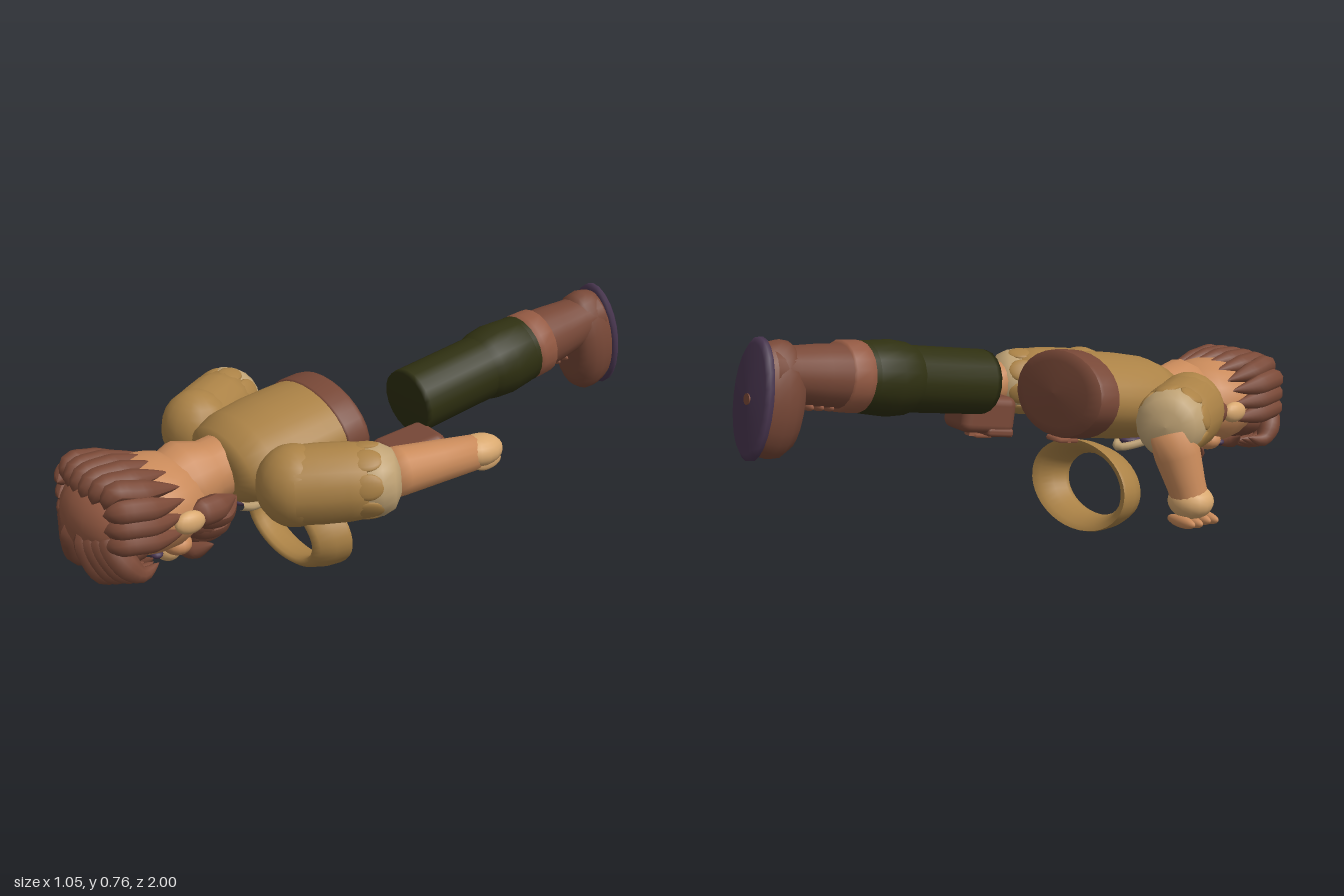
import * as THREE from 'three';
import { RoundedBoxGeometry } from 'three/addons/geometries/RoundedBoxGeometry.js';

const mat = (name, color) => {
  const m = new THREE.MeshStandardMaterial({ color });
  m.name = name;
  return m;
};

export function createModel() {
  const cloth = mat('tan cloth', 0xab8246);
  const cuffCloth = mat('pale cuff', 0xc0a375);
  const skin = mat('skin', 0xc98a5a);
  const paleSkin = mat('pale skin', 0xd8a86f);
  const hair = mat('brown hair', 0x7a4937);
  const leather = mat('brown leather', 0x784837);
  const redLeather = mat('red leather', 0x935942);
  const olive = mat('olive trousers', 0x2f3011);
  const purple = mat('purple sole', 0x493650);

  const root = new THREE.Group();
  const V = (p) => new THREE.Vector3(...p);
  const UP = new THREE.Vector3(0, 1, 0);
  const CX = 0.015; // body centre line

  const add = (parent, name, geo, m, pos = [0, 0, 0], rot = [0, 0, 0]) => {
    const o = new THREE.Mesh(geo, m);
    o.name = name;
    o.position.set(...pos);
    o.rotation.set(...rot);
    parent.add(o);
    return o;
  };
  const group = (name, pos = [0, 0, 0], rot = [0, 0, 0]) => {
    const g = new THREE.Group();
    g.name = name;
    g.position.set(...pos);
    g.rotation.set(...rot);
    root.add(g);
    return g;
  };
  const blob = (parent, name, m, pos, size, rot) => {
    const o = add(parent, name, new THREE.SphereGeometry(1, 16, 12), m, pos, rot);
    o.scale.set(...size);
    return o;
  };
  const lathe = (pts, seg = 20) => new THREE.LatheGeometry(pts.map((p) => new THREE.Vector2(...p)), seg);
  // tapered round limb running from a to b; the profile is [radius, fraction]
  const limb = (parent, name, m, a, b, profile) => {
    const d = V(b).sub(V(a));
    const len = d.length();
    const o = add(parent, name, lathe(profile.map(([r, t]) => [r, t * len]), 18), m, a);
    o.quaternion.setFromUnitVectors(UP, d.normalize());
    return o;
  };
  // curved lock of hair: a tube, blunt at its root and pointed at its tip
  const lock = (parent, name, points, r) => {
    const curve = new THREE.CatmullRomCurve3(points.map(V));
    const geo = new THREE.TubeGeometry(curve, 16, r, 10);
    const p = geo.attributes.position;
    const v = new THREE.Vector3();
    for (let i = 0; i < p.count; i++) {
      const t = Math.floor(i / 11) / 16;
      const k = Math.min(1, Math.sqrt(t * 5)) * Math.min(1, Math.pow((1 - t) * 2.2, 0.8));
      const c = curve.getPointAt(t);
      v.fromBufferAttribute(p, i).sub(c).multiplyScalar(k).add(c);
      p.setXYZ(i, v.x, v.y, v.z);
    }
    geo.computeVertexNormals();
    return add(parent, name, geo, hair);
  };
  const frame = (parent, name, pos, s, rot = [0, 0, 0]) => {
    const g = new THREE.TorusGeometry(s, s * 0.2, 6, 4);
    g.rotateZ(Math.PI / 4);
    return add(parent, name, g, redLeather, pos, rot);
  };

  // torso lies face down: local +y runs to the feet, local +z is the back
  const LIE = -1.4;
  const body = group('torso', [CX, 0.4, 0.495], [LIE, 0, 0]);
  const shirt = add(body, 'shirt', lathe([[0, 0], [0.55, 0.006], [0.82, 0.03], [0.96, 0.1],
    [1, 0.2], [0.99, 0.3], [0.96, 0.4]], 28), cloth);
  const belt = add(body, 'belt', lathe([[0.97, 0.355], [1.01, 0.36], [1.0, 0.42], [0.98, 0.432]], 28), leather);
  const hem = add(body, 'hemCap', lathe([[0.985, 0.42], [0.98, 0.435], [0.75, 0.45], [0, 0.457]], 28), leather);
  for (const o of [shirt, belt, hem]) o.scale.set(0.214, 1, 0.142);
  frame(body, 'beltBuckle', [0, 0.39, -0.15], 0.045);
  add(body, 'buckleTongue', new THREE.BoxGeometry(0.075, 0.014, 0.014), redLeather, [0, 0.39, -0.15]);

  // pouch hanging at the left hip
  const pouch = group('pouch', [0.255, 0.388, -0.07], [0.17, -0.1, 0]);
  add(pouch, 'pouchBag', new RoundedBoxGeometry(0.155, 0.125, 0.2, 3, 0.03), leather);
  add(pouch, 'pouchFlap', new RoundedBoxGeometry(0.158, 0.03, 0.1, 2, 0.012), leather, [0, -0.056, 0.045]);
  add(pouch, 'pouchStrap', new THREE.BoxGeometry(0.03, 0.015, 0.17), redLeather, [0, -0.072, 0.045]);
  frame(pouch, 'pouchBuckle', [0, -0.077, 0.01], 0.035, [Math.PI / 2, 0, 0]);

  // flared hoop under the chest, wide rim to the back
  const hoop = add(root, 'hoop', lathe([[0.99, -0.055], [1, -0.045], [0.96, 0], [0.86, 0.045], [0.76, 0.06],
    [0.69, 0.05], [0.67, 0.03], [0.74, -0.01], [0.87, -0.045], [0.99, -0.055]], 40),
  cloth, [CX, 0.143, 0.203], [Math.PI / 2 + 0.13, 0, 0]);
  hoop.scale.set(0.238, 1, 0.15);

  // sleeves with a pale cuff and scalloped edge
  const sleeve = (side, shoulder, elbow) => {
    const g = group(side + 'Sleeve');
    blob(g, 'shoulder', cloth, shoulder, [0.118, 0.126, 0.115]);
    limb(g, 'sleeve', cloth, shoulder, elbow, [[0.118, 0], [0.121, 0.3], [0.119, 0.65], [0.113, 0.86], [0.09, 0.93]]);
    const o = limb(g, 'cuff', cuffCloth, shoulder, elbow,
      [[0.1, 0.72], [0.111, 0.88], [0.109, 1.05], [0.09, 1.2], [0.05, 1.28], [0, 1.3]]);
    const len = V(elbow).distanceTo(V(shoulder));
    for (let i = 0; i < 8; i++) {
      const a = (i / 8) * Math.PI * 2;
      blob(o, 'scallop', cloth, [Math.sin(a) * 0.103, len * 0.86, Math.cos(a) * 0.103], [0.04, 0.05, 0.013], [0, a, 0]);
    }
  };
  sleeve('left', [0.288, 0.418, 0.39], [0.42, 0.43, 0.185]);
  sleeve('right', [-0.258, 0.418, 0.39], [-0.385, 0.43, 0.19]);

  // left forearm reaches towards the feet
  const la = group('leftForearm');
  limb(la, 'forearm', skin, [0.412, 0.435, 0.17], [0.435, 0.43, -0.17],
    [[0, 0], [0.078, 0.02], [0.076, 0.2], [0.066, 0.6], [0.056, 1], [0, 1.02]]);
  blob(la, 'hand', paleSkin, [0.44, 0.435, -0.19], [0.061, 0.05, 0.084]);
  blob(la, 'thumb', paleSkin, [0.386, 0.42, -0.165], [0.026, 0.03, 0.055], [0, 0.2, 0]);
  for (let i = 0; i < 4; i++) {
    blob(la, 'finger', paleSkin, [0.408 + i * 0.021, 0.408, -0.2], [0.013, 0.03, 0.055]);
  }

  // right forearm props on the ground
  const ra = group('rightForearm');
  limb(ra, 'forearm', skin, [-0.392, 0.42, 0.18], [-0.452, 0.2, 0.215],
    [[0, 0], [0.074, 0.05], [0.072, 0.4], [0.061, 0.8], [0.058, 1]]);
  blob(ra, 'hand', paleSkin, [-0.45, 0.19, 0.22], [0.075, 0.056, 0.07]);
  blob(ra, 'thumb', paleSkin, [-0.38, 0.166, 0.235], [0.024, 0.034, 0.028]);
  for (let i = 0; i < 4; i++) {
    blob(ra, 'finger', skin, [-0.456, 0.133 - (i % 2) * 0.004, 0.175 + i * 0.034], [0.06, 0.02, 0.018]);
  }

  // left leg: local +y runs to the sole, local +z is the heel side
  const leg = group('leftLeg', [0.158, 0.515, -0.13], [LIE, 0, 0]);
  add(leg, 'trouserLeg', lathe([[0, 0], [0.103, 0.001], [0.106, 0.02], [0.106, 0.33], [0.112, 0.48], [0.09, 0.49]]), olive);
  add(leg, 'kneeFold', lathe([[0.104, 0.29], [0.114, 0.32], [0.12, 0.38], [0.113, 0.46], [0.104, 0.48]]), olive);
  add(leg, 'bootCuff', lathe([[0.09, 0.464], [0.108, 0.464], [0.112, 0.5], [0.11, 0.55], [0.09, 0.555]]), redLeather);
  add(leg, 'bootShaft', lathe([[0.1, 0.54], [0.095, 0.62], [0.084, 0.72], [0.085, 0.8]]), leather);
  const foot = add(leg, 'bootFoot', lathe([[0, 0.682], [0.6, 0.688], [0.85, 0.705], [0.98, 0.735], [1, 0.765],
    [0.95, 0.8], [0.88, 0.82]], 24), leather, [0, 0, -0.077]);
  foot.scale.set(0.1, 1, 0.178);
  const sole = add(leg, 'sole', lathe([[0.9, 0.812], [1, 0.816], [1, 0.83], [0.9, 0.842], [0, 0.847]], 24), purple, [0, 0, -0.078]);
  sole.scale.set(0.1, 1, 0.183);
  add(leg, 'soleStud', new THREE.CylinderGeometry(0.017, 0.017, 0.006, 12), leather, [0, 0.847, -0.078]);
  for (let i = 0; i < 3; i++) {
    blob(leg, 'bootLace', redLeather, [0, 0.58 + i * 0.035, -0.093], [0.045, 0.011, 0.014]);
  }

  // head, crown towards +z, face down
  const head = group('head', [CX, 0, 0]);
  limb(head, 'neck', skin, [0, 0.41, 0.45], [0, 0.37, 0.7], [[0.1, 0], [0.1, 0.3], [0.13, 0.6], [0.1, 1]]);
  blob(head, 'skull', skin, [0, 0.355, 0.74], [0.178, 0.148, 0.2]);
  blob(head, 'nose', paleSkin, [0, 0.185, 0.67], [0.045, 0.04, 0.042]);
  for (const s of [-1, 1]) {
    blob(head, 'ear', paleSkin, [s * 0.185, 0.35, 0.695], [0.026, 0.035, 0.05]);
    blob(head, 'cheek', skin, [s * 0.075, 0.235, 0.68], [0.05, 0.035, 0.045]);
    blob(head, 'eye', purple, [s * 0.065, 0.213, 0.745], [0.022, 0.013, 0.02]);
    lock(head, 'eyebrow', [[s * 0.02, 0.205, 0.78], [s * 0.08, 0.208, 0.8], [s * 0.13, 0.24, 0.79]], 0.02);
    lock(head, 'moustache', [[0, 0.2, 0.635], [s * 0.07, 0.195, 0.625], [s * 0.14, 0.23, 0.59]], 0.03);
    // beard locks along the jaw and sideburns beside the neck
    for (let i = 0; i < 4; i++) {
      const x = s * (0.025 + i * 0.036), y = 0.235 + i * i * 0.01;
      lock(head, 'beardLock', [[x, y + 0.01, 0.65], [x * 1.05, y, 0.56], [x * 0.85, y + 0.03, 0.46 + i * 0.01]], 0.04);
    }
    lock(head, 'sideburn', [[s * 0.165, 0.36, 0.68], [s * 0.155, 0.355, 0.6], [s * 0.125, 0.36, 0.5]], 0.042);
    // side hair, stacked from the back to the temple
    for (let i = 0; i < 3; i++) {
      const y = 0.435 - i * 0.05;
      lock(head, 'sideLock', [[s * 0.14, y - 0.01, 0.95], [s * 0.175, y, 0.89], [s * 0.182, y - 0.01, 0.8],
        [s * 0.17, y - 0.015, 0.7]], 0.036);
    }
    // forelocks sweeping from the crown down and under the brow
    for (let i = 0; i < 4; i++) {
      const x = 0.05 + i * 0.033;
      lock(head, 'forelock', [[s * x * 0.6, 0.37, 0.95 - i * 0.008], [s * x, 0.285, 0.955 - i * 0.015],
        [s * (x + 0.025), 0.208 + i * 0.006, 0.915 - i * 0.02], [s * (x + 0.015), 0.205 + i * 0.012, 0.79]], 0.04);
    }
  }
  blob(head, 'beardBase', hair, [0, 0.3, 0.6], [0.15, 0.085, 0.085]);
  blob(head, 'crown', redLeather, [0, 0.355, 0.86], [0.185, 0.135, 0.132]);
  blob(head, 'browHair', hair, [0, 0.285, 0.85], [0.16, 0.075, 0.1]);
  // row of locks over the back of the head
  for (let i = 0; i < 6; i++) {
    const k = i - 2.5, drop = k * k * 0.003;
    lock(head, 'backLock', [[k * 0.05, 0.435, 0.955 - drop], [k * 0.052, 0.478, 0.925 - drop],
      [k * 0.056, 0.488 - drop, 0.84], [k * 0.058, 0.488 - drop * 2, 0.7]], 0.035);
  }

  // laced collar at the throat
  const lace = new THREE.CatmullRomCurve3([[-0.1, 0.305, 0.47], [-0.06, 0.27, 0.4], [0, 0.25, 0.33],
    [0.06, 0.27, 0.4], [0.1, 0.305, 0.47]].map(V));
  add(root, 'collarLace', new THREE.TubeGeometry(lace, 20, 0.014, 8), cuffCloth, [CX, 0, 0]);
  blob(root, 'collarKnot', purple, [CX, 0.27, 0.39], [0.035, 0.016, 0.045]);

  return root;
}
